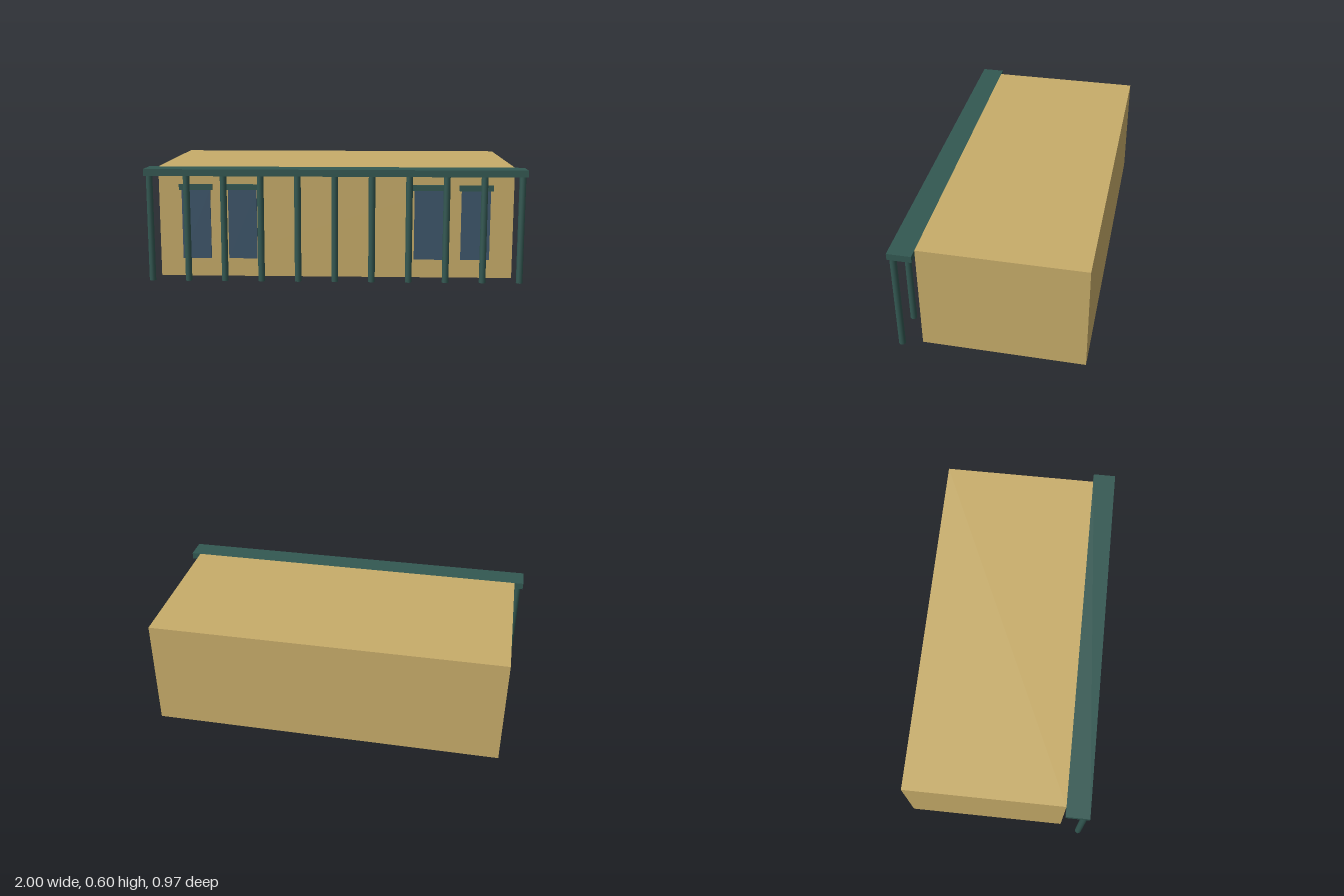
import * as THREE from 'three';

const tan = new THREE.MeshStandardMaterial({ color: 0xc8ad6a });
tan.name = 'tanWall';
const green = new THREE.MeshStandardMaterial({ color: 0x335852 });
green.name = 'darkGreen';
const blue = new THREE.MeshStandardMaterial({ color: 0x3d566b });
blue.name = 'slateBlue';

// Box given by its extents on each axis
function block(name, material, [x0, x1], [y0, y1], [z0, z1]) {
  const mesh = new THREE.Mesh(new THREE.BoxGeometry(x1 - x0, y1 - y0, z1 - z0), material);
  mesh.position.set((x0 + x1) / 2, (y0 + y1) / 2, (z0 + z1) / 2);
  mesh.name = name;
  return mesh;
}

export function createModel() {
  const model = new THREE.Group();
  model.name = 'colonnadeBuilding';

  // Main hall and the flat porch roof along its front
  model.add(block('hall', tan, [-0.95, 0.95], [0, 0.6], [-0.487, 0.362]));
  model.add(block('porchRoof', green, [-1, 1], [0.564, 0.6], [0.362, 0.487]));

  // Row of slim columns
  const columnGeometry = new THREE.CylinderGeometry(0.0175, 0.0175, 0.564, 12);
  const columns = new THREE.Group();
  columns.name = 'columns';
  for (let i = 0; i < 11; i++) {
    const column = new THREE.Mesh(columnGeometry, green);
    column.name = 'column';
    column.position.set(-0.975 + i * 0.195, 0.282, 0.4645);
    columns.add(column);
  }
  model.add(columns);

  // Tall windows in mirrored pairs, each with a lintel standing slightly proud
  for (const x of [-0.75, -0.5, 0.5, 0.75]) {
    const bay = new THREE.Group();
    bay.name = 'windowBay';
    bay.add(block('window', blue, [x - 0.077, x + 0.077], [0.1, 0.475], [0.362, 0.3705]));
    bay.add(block('lintel', green, [x - 0.09, x + 0.09], [0.475, 0.506], [0.3685, 0.376]));
    model.add(bay);
  }

  return model;
}
